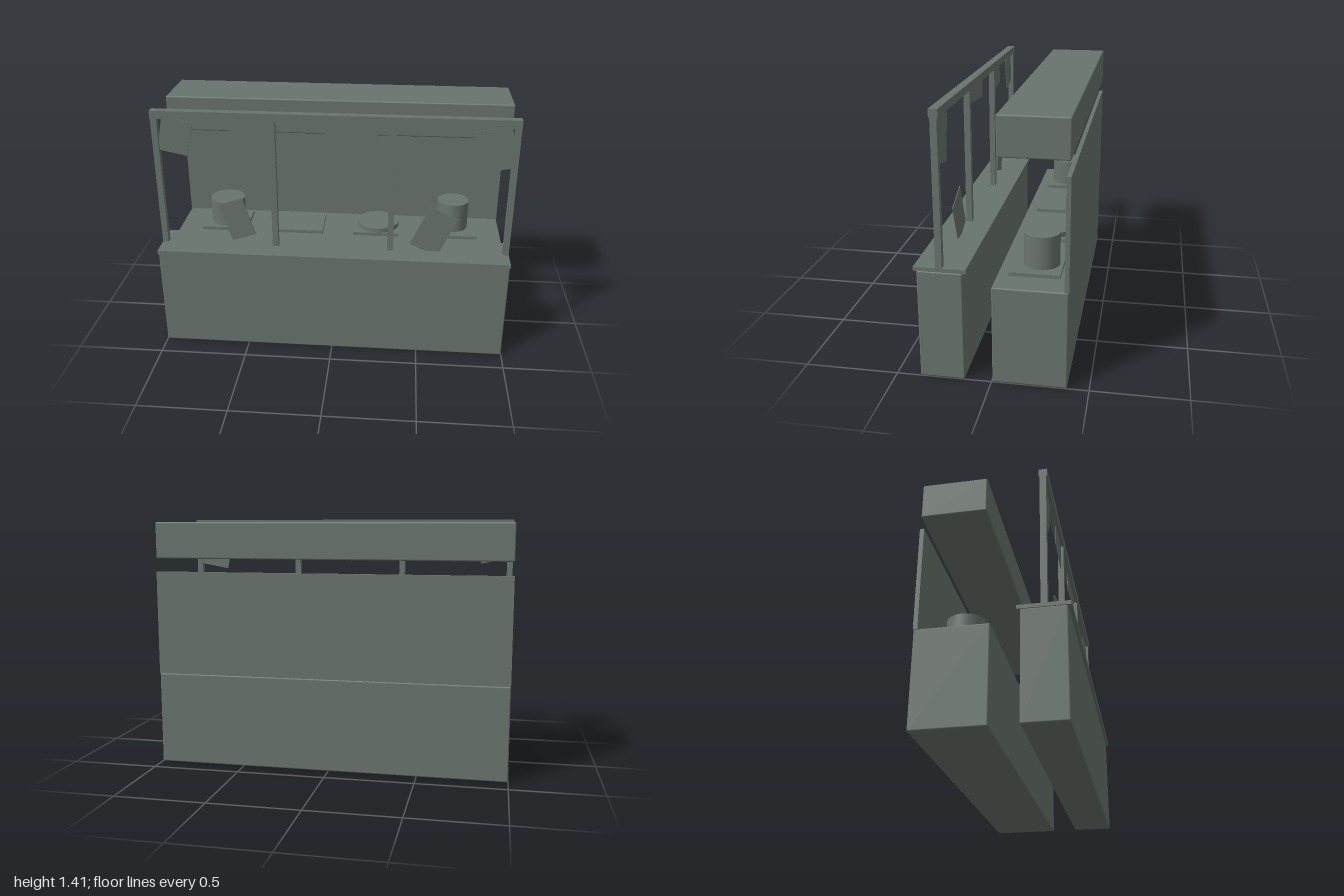
import * as THREE from 'three';
import { RoundedBoxGeometry } from 'three/addons/geometries/RoundedBoxGeometry.js';

export function createModel() {
  const model = new THREE.Group();
  model.name = 'foodStall';
  const paint = new THREE.MeshStandardMaterial({ color: 0x69746d });
  paint.name = 'greyGreen';

  function add(name, geometry, x, y, z) {
    const mesh = new THREE.Mesh(geometry, paint);
    mesh.name = name;
    mesh.position.set(x, y, z);
    model.add(mesh);
    return mesh;
  }
  // Box given by its x centre and width, and its y and z ranges
  function box(name, x, w, y0, y1, z0, z1, radius = 0) {
    const size = [w, y1 - y0, z1 - z0];
    const geometry = radius
      ? new RoundedBoxGeometry(...size, 3, radius)
      : new THREE.BoxGeometry(...size);
    return add(name, geometry, x, (y0 + y1) / 2, (z0 + z1) / 2);
  }
  function drum(name, x, z, r, y0, y1) {
    return add(name, new THREE.CylinderGeometry(r, r, y1 - y0, 40), x, (y0 + y1) / 2, z);
  }

  // Serving counter with its top slab
  box('frontCounter', 0, 2, 0, 0.592, 0.14, 0.374, 0.008);
  box('counterTop', 0, 2, 0.592, 0.613, 0.122, 0.39);

  // Frame above the counter
  for (const x of [-0.983, -0.333, 0.328, 0.983]) {
    box('post', x, 0.034, 0.613, 1.375, 0.24, 0.274);
  }
  box('topBeam', 0, 2, 1.37, 1.414, 0.234, 0.28);

  // Cooking bench, back panel and extractor hood
  box('backCounter', 0, 2, 0, 0.53, -0.388, -0.004, 0.008);
  box('backPanel', 0, 2, 0.53, 1.12, -0.39, -0.367);
  box('hood', 0, 2, 1.195, 1.4, -0.388, -0.037, 0.008);

  // Hot plates and cookware
  for (const x of [-0.71, -0.235, 0.235, 0.71]) {
    box('hotPlate', x, 0.28, 0.53, 0.55, -0.329, -0.065);
  }
  drum('leftPot', -0.708, -0.198, 0.106, 0.55, 0.703);
  drum('pan', 0.245, -0.195, 0.127, 0.55, 0.578);
  drum('rightPot', 0.705, -0.215, 0.095, 0.55, 0.727);

  // Paper notices: x, y, width, height, tilt
  const notices = [
    [-0.876, 1.264, 0.17, 0.197, -0.2],
    [-0.452, 1.309, 0.23, 0.16, -0.11],
    [0.095, 1.33, 0.29, 0.13, 0.09],
    [0.876, 1.24, 0.2, 0.24, 0.18],
    [-0.553, 0.767, 0.145, 0.236, 0.32],
    [0.571, 0.736, 0.175, 0.259, -0.42],
  ];
  for (const [x, y, w, h, tilt] of notices) {
    add('notice', new THREE.BoxGeometry(w, h, 0.004), x, y, 0.257).rotation.z = tilt;
  }

  return model;
}
